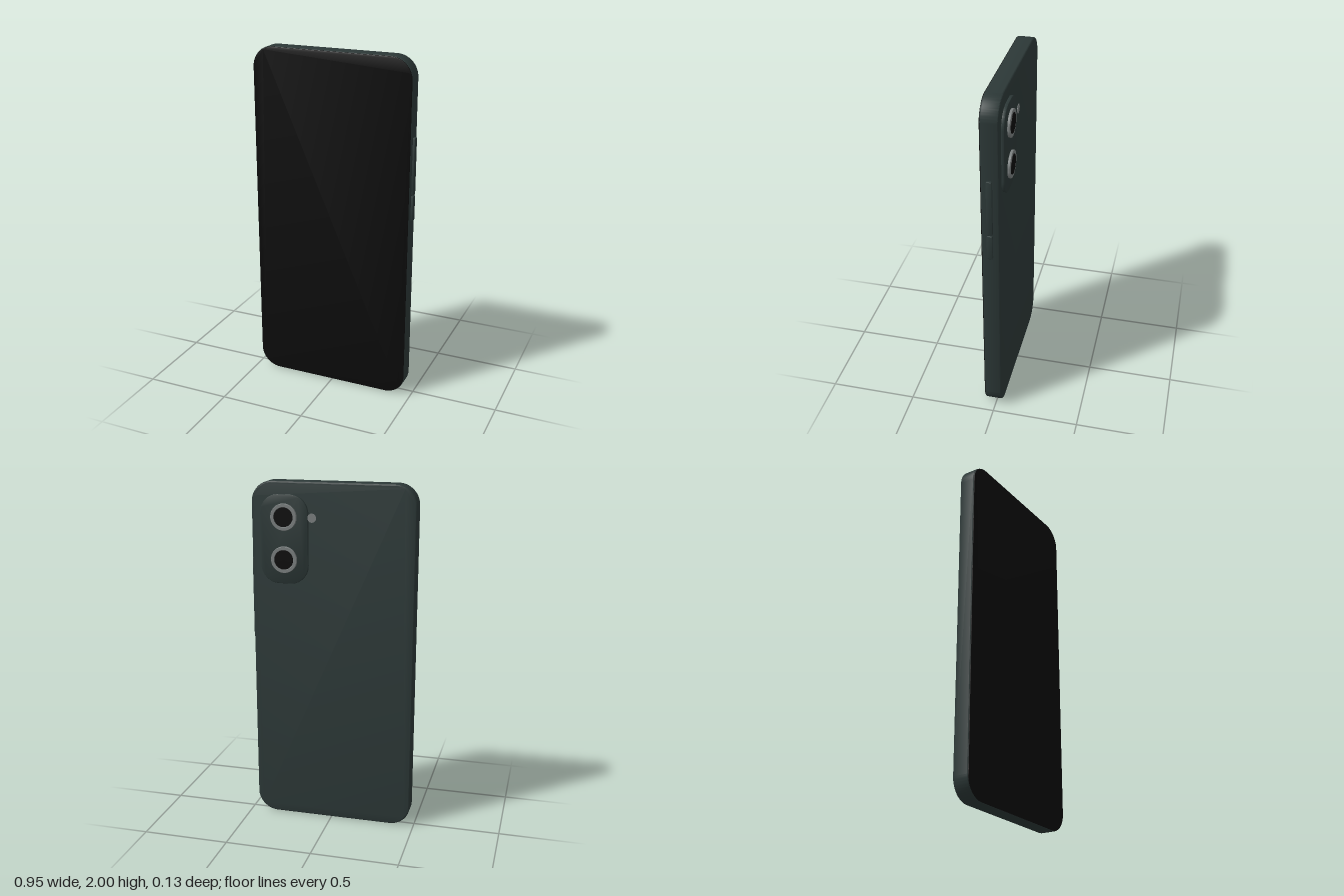
import * as THREE from 'three';
import { toCreasedNormals } from 'three/addons/utils/BufferGeometryUtils.js';

// Rounded rectangle outline centred on the origin
function roundedRect(w, h, r) {
  const s = new THREE.Shape();
  const x = w / 2 - r, y = h / 2 - r;
  s.absarc(x, y, r, 0, Math.PI / 2);
  s.absarc(-x, y, r, Math.PI / 2, Math.PI);
  s.absarc(-x, -y, r, Math.PI, Math.PI * 1.5);
  s.absarc(x, -y, r, Math.PI * 1.5, Math.PI * 2);
  s.closePath();
  return s;
}

// Slab with rounded corners and edges, spanning z = 0 to depth
function slab(w, h, r, depth, bevel) {
  const g = new THREE.ExtrudeGeometry(roundedRect(w - 2 * bevel, h - 2 * bevel, r - bevel), {
    depth: depth - 2 * bevel,
    bevelEnabled: true,
    bevelSize: bevel,
    bevelThickness: bevel,
    bevelSegments: 4,
    curveSegments: 14,
  });
  g.translate(0, 0, bevel);
  return toCreasedNormals(g, 0.6);
}

export function createModel() {
  const phone = new THREE.Group();
  phone.name = 'phone';

  const material = (name, color) => {
    const m = new THREE.MeshStandardMaterial({ color });
    m.name = name;
    return m;
  };
  const shell = material('dark green shell', 0x2c3837);
  const black = material('black glass', 0x0c0c0c);
  const metal = material('grey metal', 0x7b8080);

  const add = (name, geometry, mat, x, y, z) => {
    const mesh = new THREE.Mesh(geometry, mat);
    mesh.name = name;
    mesh.position.set(x, y, z);
    phone.add(mesh);
    return mesh;
  };

  // Body and full-width screen
  const cx = -0.0075;
  add('body', slab(0.935, 2, 0.12, 0.098, 0.01), shell, cx, 1, -0.038);
  add('screen', slab(0.93, 1.995, 0.118, 0.008, 0.0035), black, cx, 1, 0.0525);

  // Side buttons, sunk slightly into the frame
  const button = (name, y0, y1) => {
    const g = slab(0.032, y1 - y0, 0.008, 0.023, 0.003).rotateY(Math.PI / 2);
    add(name, g, shell, 0.45, (y0 + y1) / 2, 0.012);
  };
  button('volumeButton', 1.24, 1.565);
  button('powerButton', 1.09, 1.236);

  // Raised camera plate on the back
  add('cameraPlate', slab(0.275, 0.5, 0.105, 0.019, 0.004), shell, 0.267, 1.68, -0.0545);

  // Two lenses: a metal ring around black glass, built facing -z
  const ringProfile = [
    [0.075, 0], [0.075, 0.012], [0.073, 0.014], [0.057, 0.014], [0.054, 0.010], [0.054, 0],
  ].map(([r, h]) => new THREE.Vector2(r, h));
  const ring = toCreasedNormals(
    new THREE.LatheGeometry(ringProfile, 48).rotateX(-Math.PI / 2), 0.6);
  const glass = new THREE.CylinderGeometry(0.054, 0.055, 0.016, 48).rotateX(-Math.PI / 2);
  [['upper', 1.805], ['lower', 1.567]].forEach(([side, y]) => {
    const r = add(side + 'LensRing', ring, metal, 0.267, y, -0.054);
    r.material.side = THREE.DoubleSide;
    add(side + 'LensGlass', glass, black, 0.267, y, -0.062);
  });

  // Small flash disc beside the upper lens
  const flash = new THREE.CylinderGeometry(0.025, 0.025, 0.003, 32).rotateX(-Math.PI / 2);
  add('flash', flash, metal, 0.105, 1.805, -0.058);

  return phone;
}
